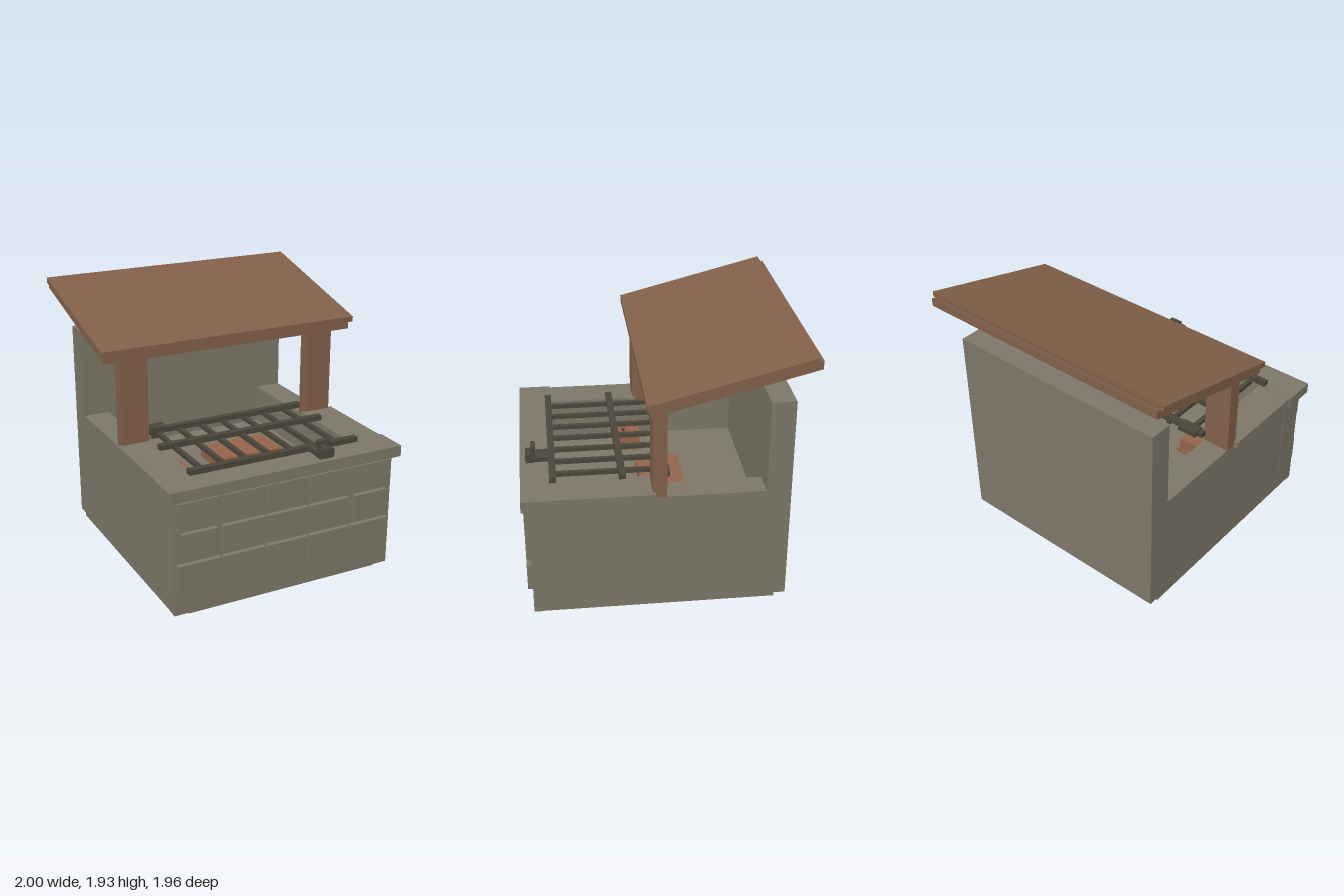
import * as THREE from 'three';

export function createModel() {
  const model = new THREE.Group();
  model.name = 'coveredGrill';

  const mat = (name, color) => {
    const m = new THREE.MeshStandardMaterial({ color });
    m.name = name;
    return m;
  };
  const stone = mat('stone', 0x7d7768);
  const wood = mat('wood', 0x82604a);
  const iron = mat('iron', 0x4a463a);
  const redWood = mat('red wood', 0x95634b);

  // Box given by its limits on each axis
  const box = (name, material, [x0, x1], [y0, y1], [z0, z1]) => {
    const mesh = new THREE.Mesh(new THREE.BoxGeometry(x1 - x0, y1 - y0, z1 - z0), material);
    mesh.position.set((x0 + x1) / 2, (y0 + y1) / 2, (z0 + z1) / 2);
    mesh.name = name;
    model.add(mesh);
    return mesh;
  };
  // Same box on the left and the right
  const pair = (name, material, [x0, x1], y, z) => {
    box(name + 'Left', material, [x0, x1], y, z);
    box(name + 'Right', material, [-x1, -x0], y, z);
  };

  // Stone body: base, hearth floor and walls around an open pit
  box('base', stone, [-0.74, 0.74], [0, 0.06], [-0.82, 0.925]);
  box('hearthFloor', stone, [-0.65, 0.65], [0.05, 0.6], [-0.7, 0.89]);
  pair('sideWall', stone, [0.65, 0.845], [0.01, 0.89], [-0.78, 0.89]);
  box('frontWall', stone, [-0.848, 0.848], [0.05, 0.87], [0.74, 0.93]);
  pair('frontFoot', stone, [0.74, 0.848], [0.01, 0.05], [0.86, 0.93]);
  box('backWall', stone, [-0.85, 0.85], [0.04, 1.56], [-0.86, -0.69]);
  box('frontLedge', stone, [-0.89, 0.89], [0.855, 0.935], [0.735, 0.98]);
  pair('sideLedge', stone, [0.615, 0.88], [0.88, 0.93], [0.07, 0.735]);

  // Raised stone blocks on the front, with shorter ends in the middle row
  [0.19, 0.415, 0.64].forEach((y, row) => {
    for (let i = -2; i <= 2; i++) {
      const c = i * 0.334 - 0.005;
      let x = [c - 0.16, c + 0.16];
      if (row === 1 && Math.abs(i) === 2) x = i < 0 ? [-0.8, -0.54] : [0.535, 0.795];
      box('frontBlock', stone, x, [y, y + 0.2], [0.925, 0.965]);
    }
  });

  // Grill: long bars with cross rails
  for (let i = -3; i <= 3; i++) {
    const c = i * 0.176 - 0.003;
    box('grillBar', iron, [c - 0.016, c + 0.016], [0.915, 0.945], [-0.05, 0.78]);
  }
  for (const z of [-0.025, 0.28, 0.757]) {
    box('grillRail', iron, [-0.655, 0.655], [0.935, 0.973], [z - 0.024, z + 0.024]);
  }

  // Front latch with an upright loop handle
  box('latchPlate', iron, [0.243, 0.367], [0.945, 0.98], [0.74, 0.91]);
  box('latchBlock', iron, [0.25, 0.36], [0.93, 1.0], [0.88, 0.94]);
  for (const x of [0.27, 0.34]) {
    box('handlePost', iron, [x - 0.01, x + 0.01], [0.98, 1.04], [0.87, 0.9]);
  }
  box('handleGrip', iron, [0.257, 0.353], [1.028, 1.055], [0.868, 0.9]);

  // Rear latch
  box('rearLatch', iron, [-0.62, -0.47], [0.945, 0.983], [-0.09, 0]);
  box('rearLatchFoot', iron, [-0.58, -0.51], [0.9, 0.95], [-0.035, -0.005]);

  // Small box with a knob and a low wooden bed inside the pit
  box('boxBody', redWood, [-0.55, -0.385], [0.6, 0.72], [0.06, 0.23]);
  box('boxRim', redWood, [-0.57, -0.365], [0.6, 0.63], [0.05, 0.245]);
  box('boxKnob', iron, [-0.472, -0.45], [0.72, 0.74], [0.17, 0.192]);
  box('woodBed', redWood, [-0.1, 0.42], [0.6, 0.69], [-0.2, 0.12]);

  // Posts and sloping roof made of two layers
  pair('roofPost', wood, [0.645, 0.847], [0.89, 1.57], [-0.005, 0.09]);
  const roofLayer = (name, halfWidth, points) => {
    const shape = new THREE.Shape(points.map(([z, y]) => new THREE.Vector2(-z, y)));
    const geo = new THREE.ExtrudeGeometry(shape, { depth: 2 * halfWidth, bevelEnabled: false });
    geo.translate(0, 0, -halfWidth);
    geo.rotateY(Math.PI / 2);
    const mesh = new THREE.Mesh(geo, wood);
    mesh.name = name;
    model.add(mesh);
  };
  roofLayer('roofBoard', 1, [[0.145, 1.61], [-0.945, 1.892], [-0.945, 1.93], [0.145, 1.65]]);
  roofLayer('roofFrame', 0.975, [[0.125, 1.555], [-0.98, 1.842], [-0.98, 1.902], [0.125, 1.615]]);

  return model;
}
